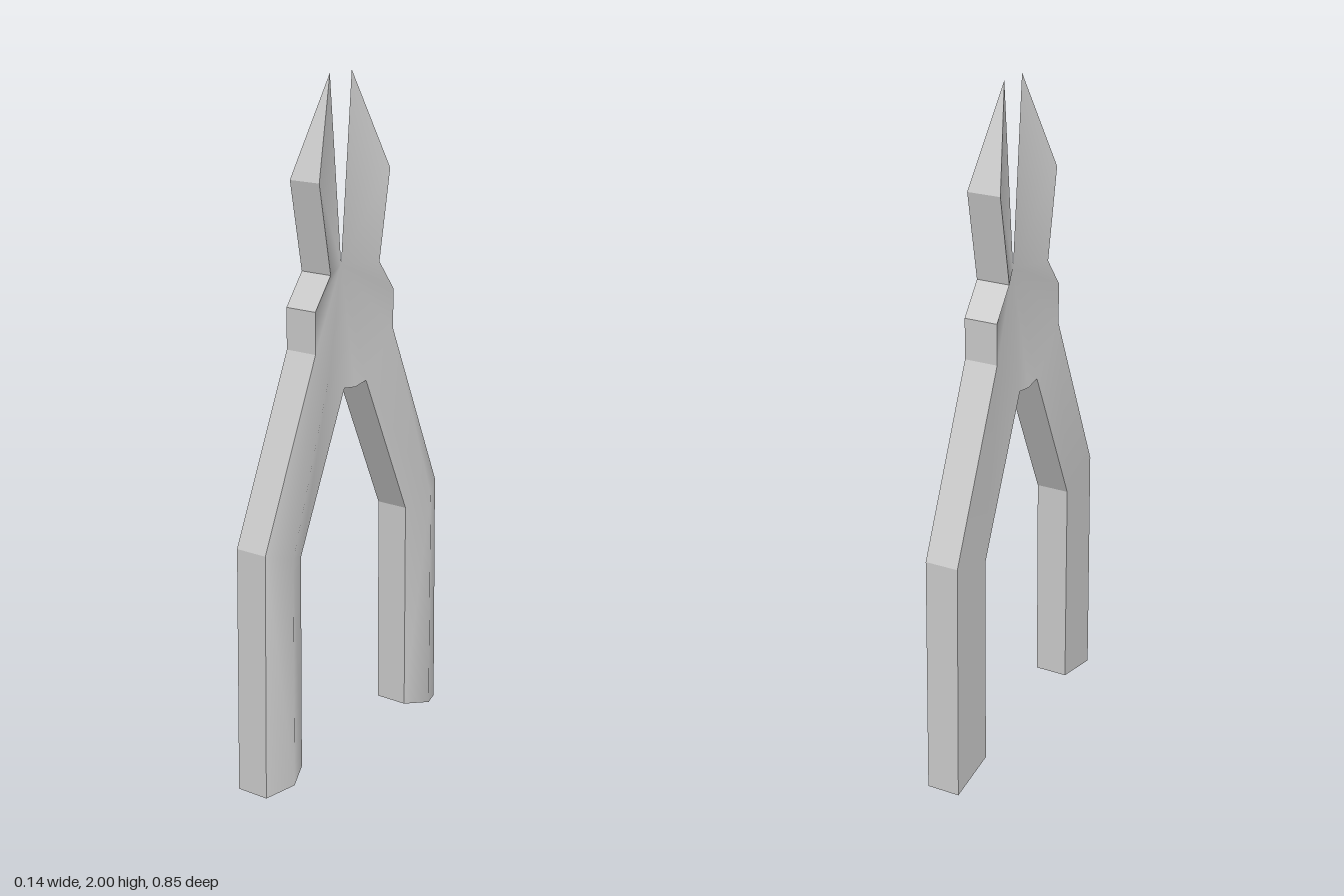
import * as THREE from 'three';
import { toCreasedNormals, mergeGeometries } from 'three/addons/utils/BufferGeometryUtils.js';

const LEFT = -0.07, RIGHT = 0.03, MID = -0.02, RIDGE = 0.067;

// Outline of one half as [z, y], from jaw tip down the outside and back up the inside
const OUTLINE = {
  tip: [0.05, 2], jaw: [0.165, 1.72], neck: [0.115, 1.46], shoulder: [0.185, 1.37], hip: [0.185, 1.25],
  bendOut: [0.415, 0.73], footOut: [0.425, 0], footIn: [0.26, 0.033], bendIn: [0.257, 0.68],
  crotch: [0.052, 1.125], base: [0, 1.117], notch: [0, 1.465],
};

// Fan-triangulate a polygon, skipping collapsed triangles
function addPolygon(target, points, flip) {
  for (let i = 1; i < points.length - 1; i++) {
    const [a, b, c] = [points[0], points[i], points[i + 1]];
    if (a.equals(b) || b.equals(c) || c.equals(a)) continue;
    for (const p of flip ? [a, c, b] : [a, b, c]) target.push(p.x, p.y, p.z);
  }
}

function toGeometry(positions) {
  const g = new THREE.BufferGeometry();
  g.setAttribute('position', new THREE.Float32BufferAttribute(positions, 3));
  return g;
}

// Faces (smooth) and rims (flat) of the three parts of one half
function buildHalf(s) {
  const point = (x, [z, y]) => new THREE.Vector3(x, y, z * s);
  const R = {}, L = {};
  for (const [key, zy] of Object.entries(OUTLINE)) {
    const knife = key === 'tip' || key === 'notch';
    R[key] = point(knife ? MID : RIGHT, zy);
    L[key] = point(knife ? MID : LEFT, zy);
  }
  // Raised ridge along the right side of the handle
  R.ridgeTop = point(RIGHT, s > 0 ? [0.1185, 1.1875] : OUTLINE.crotch);
  R.ridgeBend = point(RIDGE, [0.338, 0.705]);
  R.ridgeFoot = point(RIDGE, [0.342, 0.018]);

  const flip = s < 0;
  const part = (name, rightFaces, leftFaces, edge) => {
    const p = { name, faces: [], rims: [] };
    for (const f of rightFaces) addPolygon(p.faces, f.split(' ').map(k => R[k]), flip);
    for (const f of leftFaces) addPolygon(p.faces, f.split(' ').map(k => L[k]), !flip);
    for (const run of edge) {
      const keys = run.split(' ');
      for (let i = 0; i < keys.length - 1; i++) {
        const [a, b] = [keys[i], keys[i + 1]];
        const quad = [L[a], L[b], R[b], R[a]];
        if (a === 'footOut') quad.splice(3, 0, R.ridgeFoot);
        addPolygon(p.rims, quad, flip);
      }
    }
    return p;
  };

  const side = s > 0 ? 'front' : 'back';
  const jaw = ['tip jaw notch', 'jaw neck notch'];
  const hub = ['neck shoulder notch', 'shoulder hip notch', 'crotch base notch'];
  return [
    part(side + 'Jaw', jaw, jaw, ['tip jaw neck']),
    part(side + 'PivotHalf', [...hub, 'hip ridgeTop notch', 'ridgeTop crotch notch'],
      [...hub, 'hip crotch notch'], ['neck shoulder hip', 'crotch base']),
    part(side + 'Handle',
      ['hip bendOut ridgeBend ridgeTop', 'bendOut footOut ridgeFoot ridgeBend',
        'ridgeBend ridgeFoot footIn bendIn', 'ridgeTop ridgeBend bendIn crotch'],
      ['hip bendOut bendIn crotch', 'bendOut footOut footIn bendIn'],
      ['hip bendOut footOut footIn bendIn crotch']),
  ];
}

export function createModel() {
  const group = new THREE.Group();
  group.name = 'pliers';
  const material = new THREE.MeshStandardMaterial({ color: 0xcccccc });
  const parts = [...buildHalf(1), ...buildHalf(-1)];

  // Shade the broad faces together so that normals run on across the parts
  const shaded = toCreasedNormals(toGeometry(parts.flatMap(p => p.faces)), 1.0);
  const normals = shaded.attributes.normal.array;
  let offset = 0;
  for (const p of parts) {
    const faces = toGeometry(p.faces);
    const end = offset + p.faces.length;
    faces.setAttribute('normal', new THREE.Float32BufferAttribute(normals.slice(offset, end), 3));
    offset = end;
    const rims = toGeometry(p.rims);
    rims.computeVertexNormals();
    const mesh = new THREE.Mesh(mergeGeometries([faces, rims]), material);
    mesh.name = p.name;
    group.add(mesh);
  }
  return group;
}
